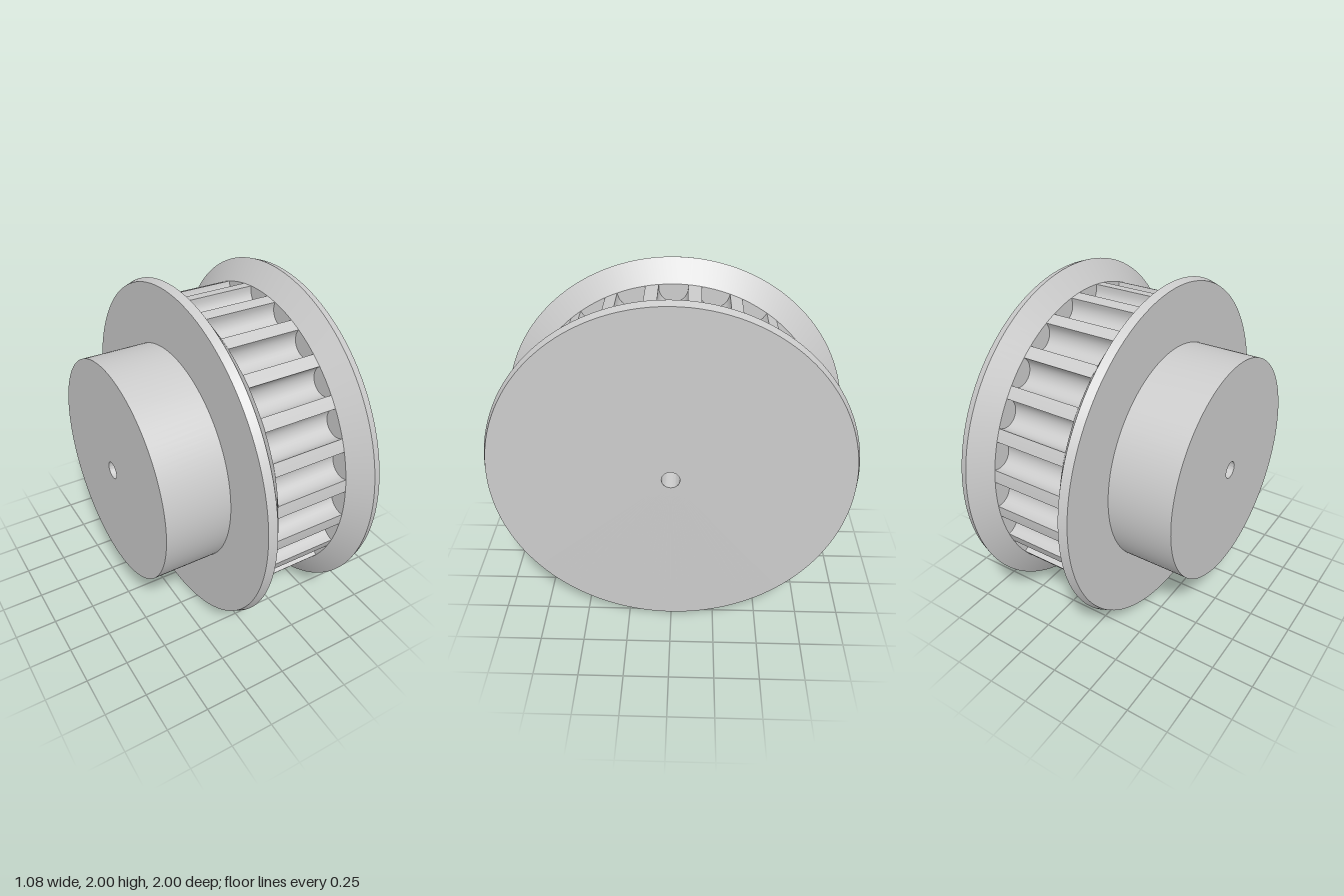
import * as THREE from 'three';
import { toCreasedNormals } from 'three/addons/utils/BufferGeometryUtils.js';

const TEETH = 24;
const RIM = 0.88; // radius of the tooth lands
const GROOVE = 0.079; // half width of a groove
const BORE = 0.05;
const material = new THREE.MeshStandardMaterial({ color: 0xcccccc });

function part(name, geometry) {
  const mesh = new THREE.Mesh(toCreasedNormals(geometry, 0.35), material);
  mesh.name = name;
  return mesh;
}

// Turned part about the x axis; profile is a list of [x, radius]
function turned(name, profile, segments = 128) {
  const points = profile.map(([x, r]) => new THREE.Vector2(r, x));
  const geometry = new THREE.LatheGeometry(points, segments);
  geometry.rotateZ(-Math.PI / 2);
  return part(name, geometry);
}

// Toothed section: round-bottomed grooves cut between flat lands
function toothedRing(x0, x1) {
  const points = [];
  const pitch = (2 * Math.PI) / TEETH;
  const edge = Math.sqrt(RIM * RIM - GROOVE * GROOVE);
  const floorCentre = edge - 0.018;
  const half = Math.asin(GROOVE / RIM);
  for (let i = 0; i < TEETH; i++) {
    const turn = i * pitch;
    const add = (r, t) =>
      points.push(new THREE.Vector2(r, t).rotateAround(new THREE.Vector2(), turn));
    add(edge, -GROOVE);
    for (let k = 0; k <= 14; k++) {
      const a = (k / 14) * Math.PI;
      add(floorCentre - GROOVE * Math.sin(a), -GROOVE * Math.cos(a));
    }
    add(edge, GROOVE);
    // middle of the land that follows the groove
    for (const f of [1 / 3, 2 / 3]) {
      const a = half + (pitch - 2 * half) * f;
      add(RIM * Math.cos(a), RIM * Math.sin(a));
    }
  }
  const shape = new THREE.Shape(points);
  shape.holes.push(new THREE.Path().absarc(0, 0, BORE + 0.01, 0, Math.PI * 2, true));
  const geometry = new THREE.ExtrudeGeometry(shape, {
    depth: x1 - x0, bevelEnabled: false, curveSegments: 16,
  });
  geometry.rotateY(Math.PI / 2);
  geometry.translate(x0, 0, 0);
  return part('toothedRing', geometry);
}

export function createModel() {
  const pulley = new THREE.Group();
  pulley.name = 'timingPulley';

  const wheel = new THREE.Group();
  wheel.name = 'wheel';
  wheel.position.y = 1;
  pulley.add(wheel);

  wheel.add(toothedRing(-0.035, 0.41));

  // Flanges with a sloped inner face and a slightly tapered rim
  wheel.add(turned('hubSideFlange', [
    [-0.16, 0.64], [-0.16, 0.985], [-0.115, 1], [-0.027, RIM], [-0.027, 0.7],
  ]));
  wheel.add(turned('outerFlange', [
    [0.402, 0.7], [0.402, RIM], [0.49, 1], [0.535, 0.985], [0.535, BORE],
  ]));

  // Hub and through bore
  wheel.add(turned('hub', [[-0.54, BORE], [-0.54, 0.645], [-0.16, 0.645]]));
  wheel.add(turned('bore', [[0.535, BORE], [-0.54, BORE]], 48));

  return pulley;
}
